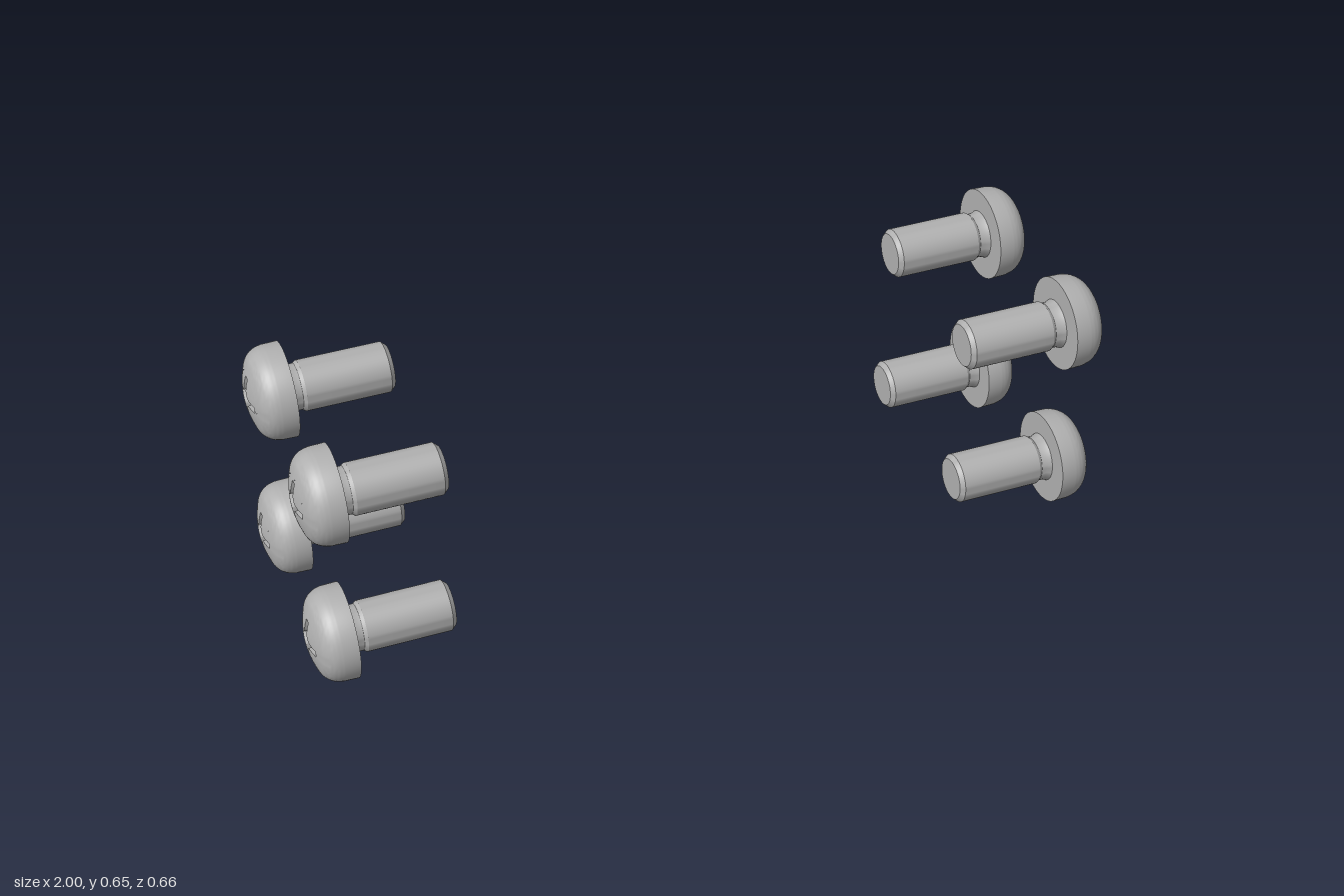
import * as THREE from 'three';
import { toCreasedNormals } from 'three/addons/utils/BufferGeometryUtils.js';

const V = (x, y) => new THREE.Vector2(x, y);
const CAP_R = 0.065; // where the slotted cap meets the rounded head
const dome = (r) => 1 - 2.6 * r * r;

// Shank: chamfered tip, straight body, slightly narrower neck
function shankGeometry() {
  const pts = [V(0, 0.65), V(0.052, 0.65), V(0.0615, 0.661), V(0.0615, 0.866),
    V(0.056, 0.874), V(0.056, 0.888), V(0.061, 0.902)];
  return toCreasedNormals(new THREE.LatheGeometry(pts, 48), 0.5);
}

// Pan head: flat underside, short wall, rounded shoulder
function headGeometry() {
  const shoulder = new THREE.SplineCurve([V(0.1145, 0.937), V(0.11, 0.955), V(0.1, 0.9705),
    V(0.086, 0.981), V(CAP_R, dome(CAP_R))]).getPoints(14);
  const pts = [V(0.05, 0.9), V(0.1155, 0.9), ...shoulder];
  return toCreasedNormals(new THREE.LatheGeometry(pts, 64), 0.5);
}

// Cross recess and the dome around it, lofted outwards from the floor
function recessGeometry() {
  const arc = new THREE.QuadraticBezierCurve(V(0.027, 0.0085), V(0.011, 0.011), V(0.0085, 0.027)).getPoints(8);
  const quarter = [V(0.057, 0), V(0.057, 0.008), V(0.04, 0.0082), ...arc, V(0.0082, 0.04), V(0.008, 0.057)];
  const last = quarter.length - 2;
  const top = [], floor = [];
  for (let q = 0; q < 4; q++) {
    quarter.forEach((p, i) => {
      const k = (i - 1) / last;
      const f = i === 0 ? V(0.013, 0) : V(0.013, 0.0055).lerp(V(0.0055, 0.013), k);
      top.push(p.clone().rotateAround(V(0, 0), q * Math.PI / 2));
      floor.push(f.rotateAround(V(0, 0), q * Math.PI / 2));
    });
  }
  const n = top.length, floorY = 0.925, pos = [0, floorY, 0], idx = [];
  floor.forEach((p) => pos.push(p.x, floorY, -p.y));
  const rings = 4;
  for (let j = 0; j <= rings; j++) {
    top.forEach((p) => {
      const r = THREE.MathUtils.lerp(p.length(), CAP_R, j / rings);
      const a = p.angle();
      pos.push(r * Math.cos(a), dome(r), -r * Math.sin(a));
    });
  }
  for (let i = 0; i < n; i++) {
    const k = (i + 1) % n;
    idx.push(0, 1 + i, 1 + k);
    for (let j = 0; j <= rings; j++) {
      const a = 1 + j * n, b = a + n;
      idx.push(a + i, b + i, b + k, a + i, b + k, a + k);
    }
  }
  const g = new THREE.BufferGeometry();
  g.setAttribute('position', new THREE.Float32BufferAttribute(pos, 3));
  g.setIndex(idx);
  return toCreasedNormals(g, 0.5);
}

export function createModel() {
  const steel = new THREE.MeshStandardMaterial({ color: 0xb0b0b0 });
  steel.name = 'steel';
  const parts = { shank: shankGeometry(), head: headGeometry(), crossRecess: recessGeometry() };

  const model = new THREE.Group();
  model.name = 'screwSet';

  // Two facing sets of four screws in a square pattern
  const half = 0.2055;
  for (const side of [1, -1]) {
    for (const up of [1, -1]) {
      for (const front of [1, -1]) {
        const screw = new THREE.Group();
        screw.name = `${side > 0 ? 'left' : 'right'}${up > 0 ? 'Upper' : 'Lower'}${front > 0 ? 'Front' : 'Back'}Screw`;
        for (const [name, geometry] of Object.entries(parts)) {
          const mesh = new THREE.Mesh(geometry, steel);
          mesh.name = name;
          screw.add(mesh);
        }
        screw.rotation.z = -side * Math.PI / 2;
        screw.position.set(0, up * half, front * half);
        model.add(screw);
      }
    }
  }

  // The whole set sits very slightly askew
  model.rotation.set(0.011, -0.0084, 0);
  model.position.y = 0.3235;
  const root = new THREE.Group();
  root.name = 'screws';
  root.add(model);
  return root;
}
